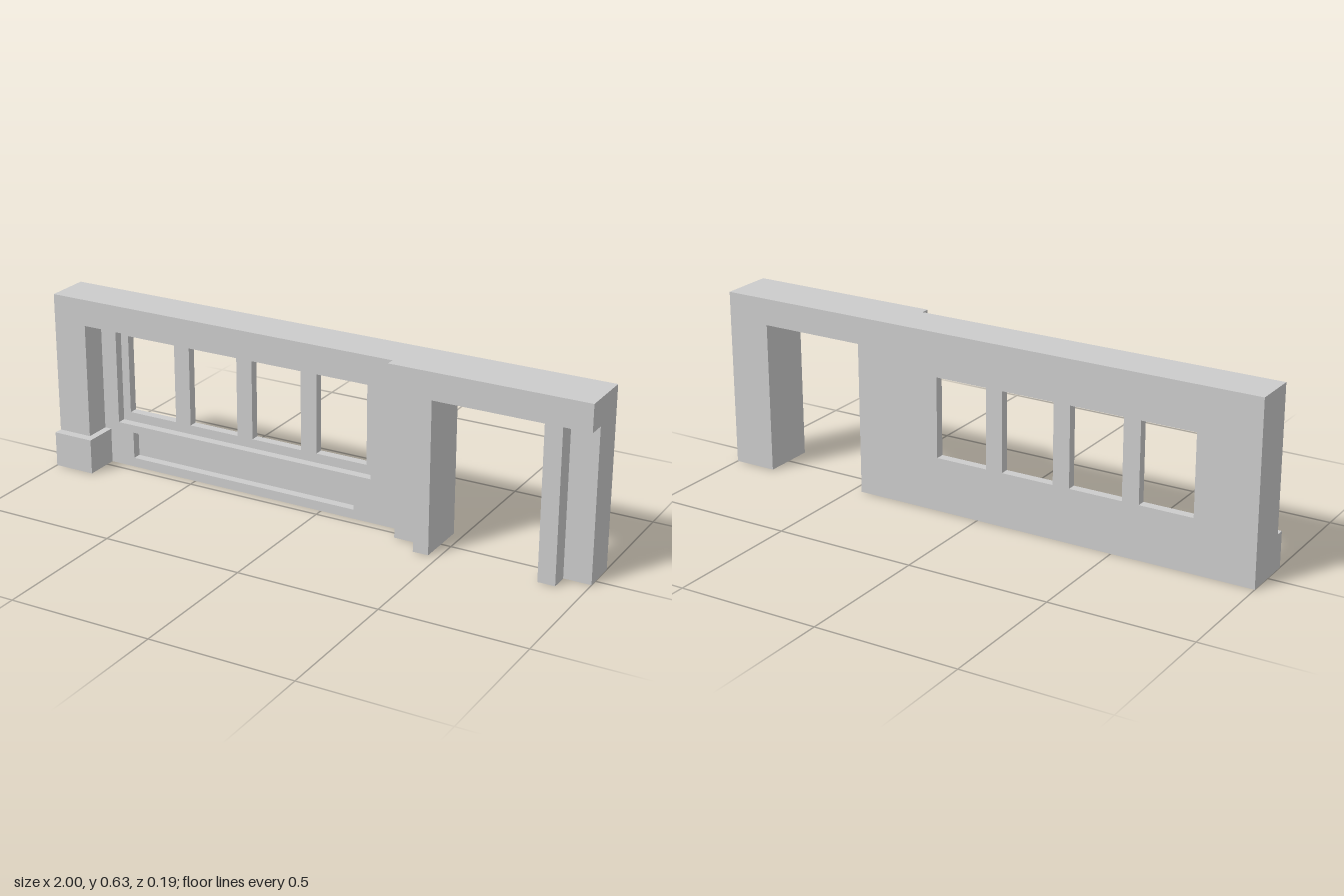
import * as THREE from 'three';

const H = 0.627;      // overall height
const SOFFIT = 0.533; // underside of the top beam

const rect = (x0, y0, x1, y1) => [[x0, y0], [x1, y0], [x1, y1], [x0, y1]];
const toPoints = (list) => list.map(([x, y]) => new THREE.Vector2(x, y));

export function createModel() {
  const group = new THREE.Group();
  const material = new THREE.MeshStandardMaterial({ color: 0xcccccc, flatShading: true });

  // Vertical slab of the facade between two depths, with optional openings
  function slab(name, outline, z0, z1, holes = []) {
    const shape = new THREE.Shape(toPoints(outline));
    for (const hole of holes) shape.holes.push(new THREE.Path(toPoints(hole)));
    const geometry = new THREE.ExtrudeGeometry(shape, { depth: z1 - z0, bevelEnabled: false });
    geometry.translate(0, 0, z0);
    const mesh = new THREE.Mesh(geometry, material);
    mesh.name = name;
    group.add(mesh);
  }

  // Shared outline pieces
  const top = [[1, H], [-1, H]];
  const doorway = [[0.465, 0], [0.465, SOFFIT], [0.845, SOFFIT], [0.845, 0]];
  const leftPier = [
    [-1, 0], [-0.85, 0], [-0.85, 0.125], [-0.875, 0.125], [-0.875, SOFFIT],
  ];
  const wall = [[-1, 0], ...doorway, [1, 0], ...top];
  const doorPosts = [[0.41, SOFFIT], [0.41, 0], ...doorway, [0.905, 0], [0.905, SOFFIT], [1, SOFFIT]];

  // Back wall with four window openings
  const windows = [];
  for (let i = 0; i < 4; i++) {
    const x = -0.785 + i * 0.25;
    windows.push(rect(x, 0.19, x + 0.19, 0.473));
  }
  slab('windowWall', wall, -0.094, -0.0625, windows);

  // Surround with the sunken window frame and the sunken lower panel
  slab('windowSurround', wall, -0.0625, -0.031, [
    rect(-0.815, 0.157, 0.187, 0.503),
    rect(-0.755, 0.033, 0.124, 0.129),
  ]);

  // Piers and beam around the window bay
  slab('piersAndBeam',
    [...leftPier, [0.31, SOFFIT], [0.31, 0], ...doorway, [1, 0], ...top], -0.031, 0.031);

  // Door posts step forward beneath the beam
  slab('beamAndDoorPosts', [...leftPier, ...doorPosts, ...top], 0.031, 0.0625);

  // Deeper beam over the doorway, and the pier's plinth
  slab('doorBeam', [[0.31, SOFFIT], ...doorPosts, [1, H], [0.31, H]], 0.0625, 0.094);
  slab('plinth', rect(-1, 0, -0.85, 0.125), 0.0625, 0.094);

  return group;
}
